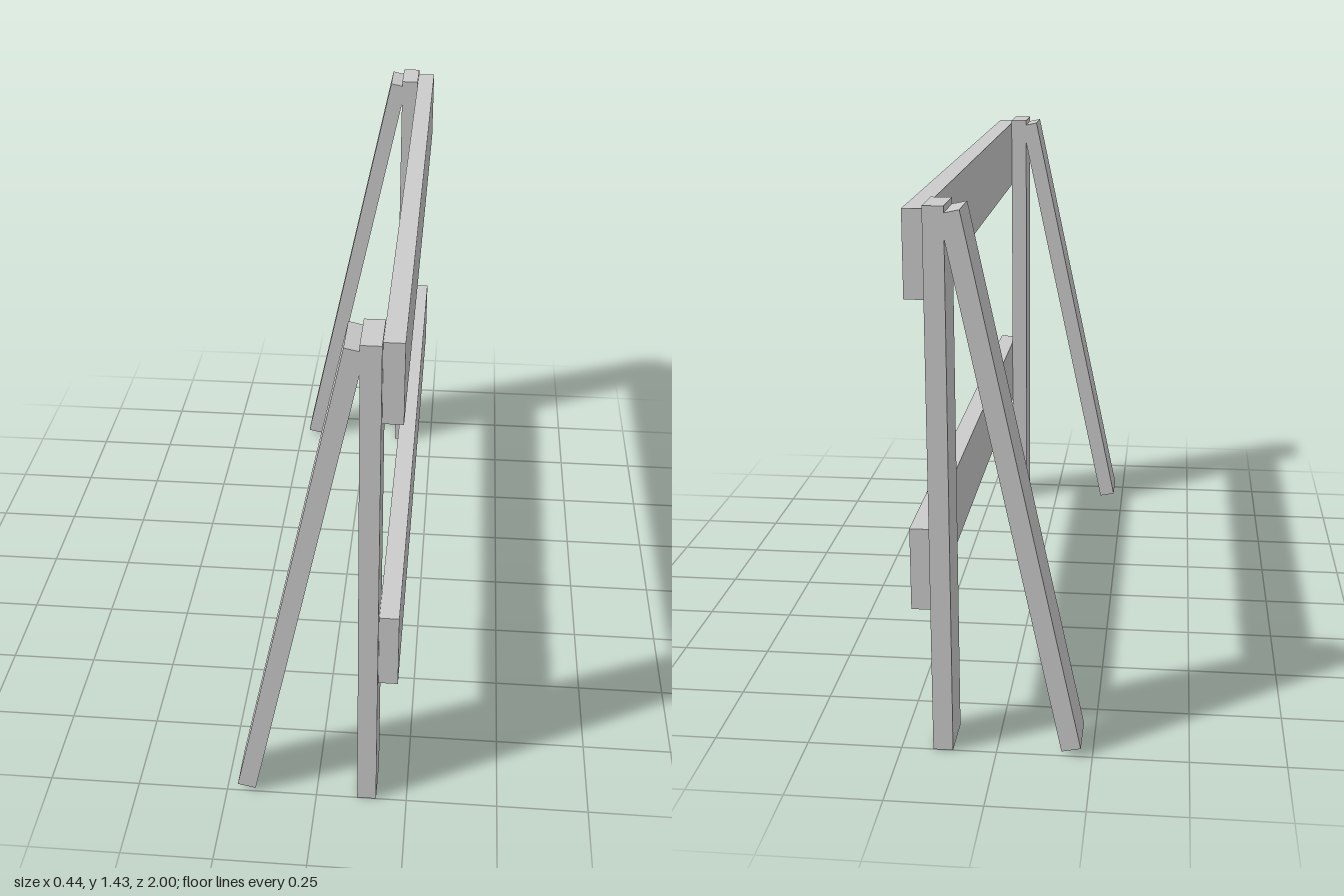
import * as THREE from 'three';

export function createModel() {
  const model = new THREE.Group();
  model.name = 'barricade';
  const material = new THREE.MeshStandardMaterial({ color: 0xcccccc, flatShading: true });

  function plank(name, size, position, tilt = 0) {
    const mesh = new THREE.Mesh(new THREE.BoxGeometry(...size), material);
    mesh.name = name;
    mesh.position.set(...position);
    mesh.rotation.z = tilt;
    model.add(mesh);
  }

  // Upright post and leaning brace at each end
  const legWidth = 0.132;
  for (const [end, sign] of [['front', 1], ['back', -1]]) {
    const z = sign * (1 - legWidth / 2);
    plank(end + 'Post', [0.052, 1.43, legWidth], [0.14, 0.715, z]);
    plank(end + 'Brace', [0.051, 1.43, legWidth], [-0.0465, 0.717, z], -0.209);
  }

  // Horizontal boards fixed to the outer faces of the posts
  for (const [name, y] of [['upperBoard', 1.31], ['lowerBoard', 0.5]]) {
    plank(name, [0.052, 0.22, 1.946], [0.192, y, -0.01]);
  }

  return model;
}
